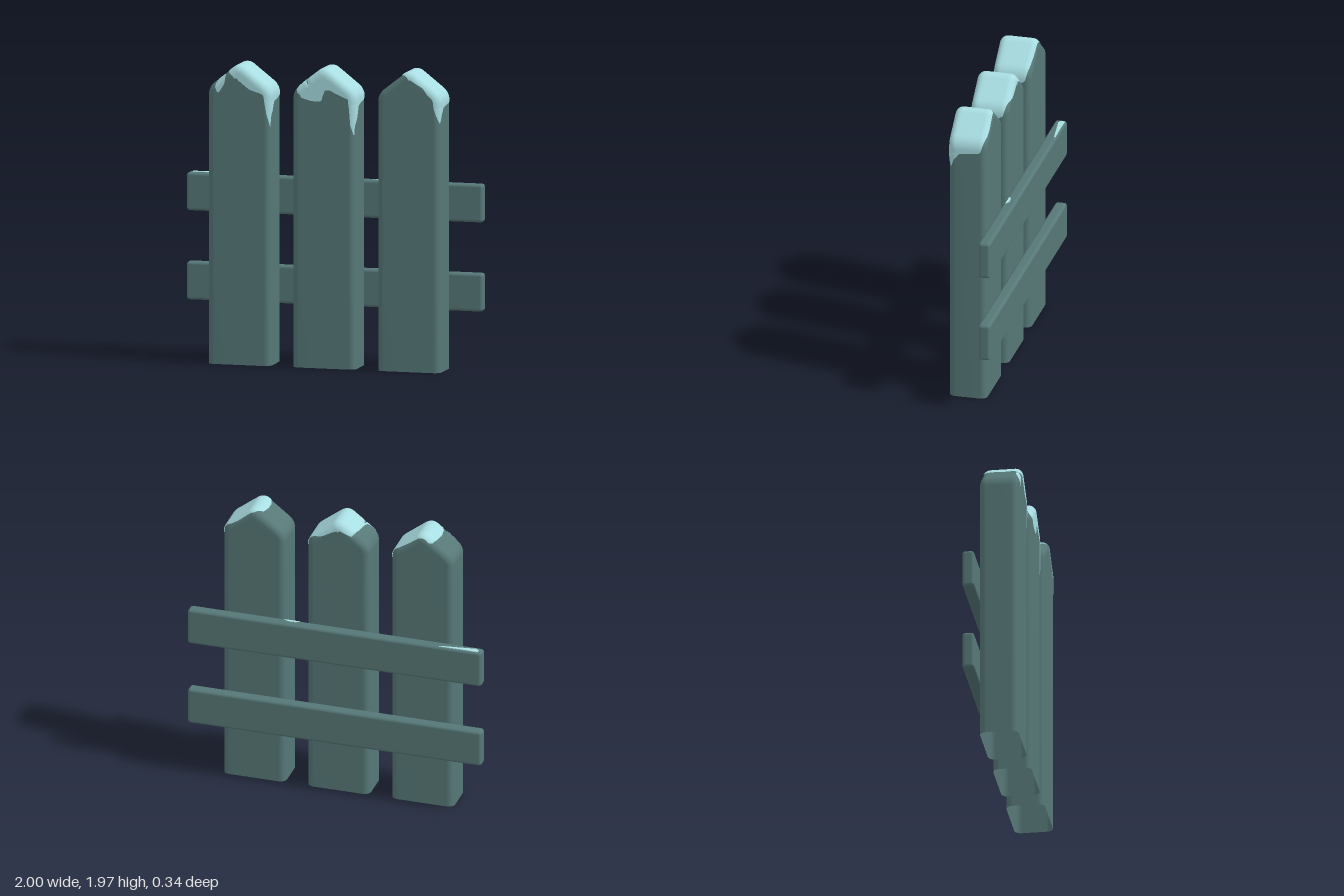
import * as THREE from 'three';
import { RoundedBoxGeometry } from 'three/addons/geometries/RoundedBoxGeometry.js';

const wood = new THREE.MeshStandardMaterial({ color: 0x567877, side: THREE.DoubleSide });
wood.name = 'weathered wood';
const frost = new THREE.MeshStandardMaterial({ color: 0xa8dde2, side: THREE.DoubleSide });
frost.name = 'pale frost';

const R = 0.045;        // rounding of the long edges
const FLAT = 0.082;     // half depth of the flat side
const EDGE = FLAT + R * Math.PI / 2;
const MID_Z = 0.038;
const S_END = 2.07;     // outline length from peak to ground
const SLOPE = 38 * Math.PI / 180;

// Picket silhouette: s runs from the left foot (-) over the peak (0) to the right foot (+)
function outline(s) {
  const t = Math.abs(s), side = s < 0 ? -1 : 1;
  let x, y, a; // a: angle of the outward normal away from straight up
  if (t < 0.0425) {
    a = t / 0.064;
    x = 0.064 * Math.sin(a); y = 1.899 + 0.064 * Math.cos(a);
  } else if (t < 0.214) {
    const k = (t - 0.0425) / 0.1715;
    a = SLOPE;
    x = 0.0394 + k * 0.1352; y = 1.9494 - k * 0.1056;
  } else if (t < 0.305) {
    a = SLOPE + (t - 0.214) / 0.091 * (Math.PI / 2 - SLOPE);
    x = 0.113 + 0.1 * Math.sin(a); y = 1.765 + 0.1 * Math.cos(a);
  } else {
    a = Math.PI / 2;
    x = 0.213; y = 1.765 - (t - 0.305);
  }
  return { x: side * x, y, nx: side * Math.sin(a), ny: Math.cos(a) };
}

// Picket surface: v runs from the back face (-) across the side to the front face (+)
function surface(s, v, lift = 0) {
  const p = outline(s), w = Math.abs(v), side = Math.sign(v);
  const phi = THREE.MathUtils.clamp((w - FLAT) / R, 0, Math.PI / 2);
  const inset = R * (1 - Math.cos(phi)) - lift * Math.cos(phi);
  const z = Math.min(w, FLAT) + (R + lift) * Math.sin(phi);
  return [
    p.x - p.nx * inset,
    p.y - p.ny * inset - Math.max(0, w - EDGE),
    MID_Z + side * z,
  ];
}

// Grid of points, facing outward
function grid(nu, nv, pointAt) {
  const pos = [], idx = [];
  for (let i = 0; i <= nu; i++) for (let j = 0; j <= nv; j++) pos.push(...pointAt(i, j));
  for (let i = 0; i < nu; i++) for (let j = 0; j < nv; j++) {
    const a = i * (nv + 1) + j, b = a + nv + 1;
    idx.push(a, a + 1, b, a + 1, b + 1, b);
  }
  const g = new THREE.BufferGeometry();
  g.setAttribute('position', new THREE.Float32BufferAttribute(pos, 3));
  g.setIndex(idx);
  g.computeVertexNormals();
  return g;
}

// Picket body, open underneath
function picketGeometry() {
  const half = [0];
  for (let i = 1; i <= 6; i++) half.push(0.0425 * i / 6);
  half.push(0.1, 0.16);
  for (let i = 0; i <= 6; i++) half.push(0.214 + 0.091 * i / 6);
  half.push(0.5, 1, 1.5, S_END);
  const ss = [...half.slice(1).reverse().map(s => -s), ...half];
  const vs = [];
  for (let i = 0; i <= 6; i++) vs.push(FLAT + (EDGE - FLAT) * i / 6);
  const all = [...vs.slice().reverse().map(v => -v), ...vs];
  const last = all.length + 1;
  return grid(ss.length - 1, last, (i, j) => {
    const v = all[THREE.MathUtils.clamp(j - 1, 0, all.length - 1)];
    const p = surface(ss[i], v);
    if (j === 0 || j === last) p[0] = 0; // close the flat faces on the centre line
    return p;
  });
}

// Thin frost skin; rows are [s, back limit, front limit]
function frostGeometry(rows) {
  const n = 64, m = 32, s0 = rows[0][0], s1 = rows[rows.length - 1][0];
  return grid(n, m, (i, j) => {
    const s = s0 + (s1 - s0) * i / n;
    let k = 0;
    while (k < rows.length - 2 && rows[k + 1][0] < s) k++;
    const [a, b] = [rows[k], rows[k + 1]];
    const t = (s - a[0]) / (b[0] - a[0]);
    const lo = a[1] + (b[1] - a[1]) * t, hi = a[2] + (b[2] - a[2]) * t;
    return surface(s, lo + (hi - lo) * j / m, 0.004);
  });
}

const frostCaps = [
  [[[-0.105, 0, 0.03], [-0.09, -0.11, 0.117], [-0.067, -0.13, 0.173], [0, -0.125, 0.21],
    [0.118, -0.12, 0.21], [0.207, -0.11, 0.177], [0.305, -0.09, 0.155], [0.32, -0.08, 0.15],
    [0.34, 0.05, 0.148], [0.42, 0.1, 0.135], [0.5, 0.11, 0.112]],
   [[-0.225, 0.145, 0.16], [-0.2, 0.12, 0.187], [-0.16, 0.1, 0.165], [-0.13, 0.1, 0.135], [-0.11, 0.105, 0.11]]],
  [[[-0.25, 0.13, 0.137], [-0.232, 0.11, 0.175], [-0.156, 0.08, 0.238], [-0.13, -0.13, 0.26],
    [-0.05, -0.15, 0.31], [0, -0.17, 0.27], [0.08, -0.15, 0.215], [0.156, -0.14, 0.198],
    [0.22, -0.11, 0.179], [0.305, -0.09, 0.158], [0.32, -0.08, 0.155], [0.34, 0.05, 0.15],
    [0.47, 0.11, 0.14], [0.53, 0.115, 0.12]]],
  [[[-0.07, 0, 0.05], [-0.055, -0.08, 0.1], [0, -0.12, 0.155], [0.143, -0.125, 0.138],
    [0.194, -0.12, 0.153], [0.305, -0.09, 0.153], [0.32, -0.085, 0.15], [0.335, 0.05, 0.148],
    [0.38, 0.09, 0.135], [0.43, 0.105, 0.112]]],
];

// Frost plate lying on the upper rail
function railFrost(points) {
  const shape = new THREE.Shape(points.map(([x, z]) => new THREE.Vector2(x, -z)));
  const mesh = new THREE.Mesh(new THREE.ExtrudeGeometry(shape, { depth: 0.004, bevelEnabled: false }), frost);
  mesh.rotation.x = -Math.PI / 2;
  mesh.position.y = 1.209;
  mesh.name = 'railFrost';
  return mesh;
}

export function createModel() {
  const fence = new THREE.Group();
  fence.name = 'picketFence';

  // Pickets with frosted tips
  const body = picketGeometry();
  frostCaps.forEach((caps, i) => {
    const picket = new THREE.Group();
    picket.name = 'picket' + (i + 1);
    picket.position.x = (i - 1) * 0.572;
    const board = new THREE.Mesh(body, wood);
    board.name = 'board';
    picket.add(board);
    for (const rows of caps) {
      const cap = new THREE.Mesh(frostGeometry(rows), frost);
      cap.name = 'frostCap';
      picket.add(cap);
    }
    fence.add(picket);
  });

  // Cross rails behind the pickets
  [['lowerRail', 0.5], ['upperRail', 1.085]].forEach(([name, y]) => {
    const rail = new THREE.Mesh(new RoundedBoxGeometry(2, 0.25, 0.078, 3, 0.02), wood);
    rail.name = name;
    rail.position.set(0, y, -0.13);
    fence.add(rail);
  });
  fence.add(
    railFrost([[-0.97, -0.16], [-0.85, -0.158], [-0.71, -0.16], [-0.73, -0.15], [-0.88, -0.13], [-0.95, -0.12], [-0.975, -0.135]]),
    railFrost([[0.25, -0.106], [0.28, -0.124], [0.33, -0.126], [0.36, -0.106]]),
  );
  return fence;
}
